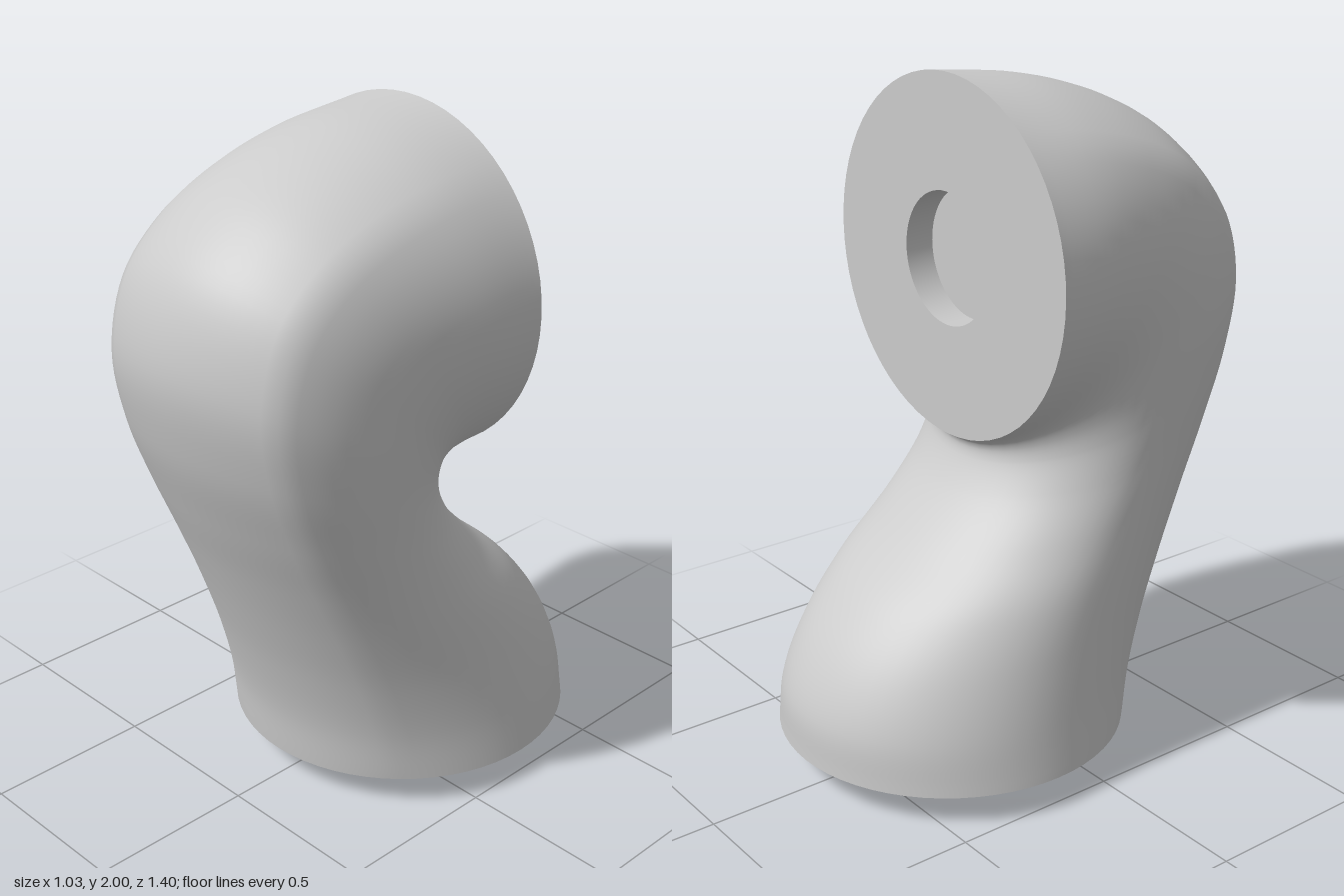
import * as THREE from 'three';
import { toCreasedNormals } from 'three/addons/utils/BufferGeometryUtils.js';

const SIDES = 64, RINGS = 72;
const R = 0.515, AXIS_Z = -0.18, FACE_Y = 1.485, BOSS_R = 0.19;

// Spine rails: [half width, outer y, outer z, inner y, inner z]
const STATIONS = [
  [0.515, 0.09, 0.335, 0.09, -0.695],
  [0.49, 0.25, 0.355, 0.23, -0.685],
  [0.465, 0.43, 0.40, 0.38, -0.62],
  [0.445, 0.60, 0.455, 0.53, -0.50],
  [0.427, 0.78, 0.52, 0.675, -0.33],
  [0.42, 0.96, 0.59, 0.81, -0.20],
  [0.425, 1.18, 0.665, 0.90, -0.145],
  [0.435, 1.42, 0.70, 0.93, -0.138],
  [0.445, 1.65, 0.64, 0.945, -0.142],
  [0.46, 1.80, 0.50, 0.953, -0.148],
  [0.48, 1.895, 0.33, 0.96, -0.155],
  [0.502, 1.965, 0.10, 0.967, -0.165],
  [0.515, 2.0, -0.18, 0.97, -0.18],
];

// Section radius: a circle with a soft corner at 45 degrees on the outer side
function sectionRadius(theta, amount) {
  const a = Math.abs(theta > Math.PI ? theta - 2 * Math.PI : theta) / (Math.PI / 4);
  const bump = a <= 1 ? a ** 2.3 : a < 2 ? (2 - a) ** 1.6 : 0;
  return 1 + 0.11 * amount * bump;
}

// Curved housing lofted from the round base to the round upright face
function housingGeometry() {
  const outer = new THREE.CatmullRomCurve3(STATIONS.map(s => new THREE.Vector3(s[0], s[1], s[2])));
  const inner = new THREE.CatmullRomCurve3(STATIONS.map(s => new THREE.Vector3(0, s[3], s[4])));
  const positions = [], indices = [];
  for (let i = 0; i <= RINGS; i++) {
    const t = i / RINGS;
    const o = outer.getPoint(t), n = inner.getPoint(t);
    const corner = Math.sin(Math.PI * t);
    for (let j = 0; j < SIDES; j++) {
      const theta = (j / SIDES) * Math.PI * 2;
      const r = sectionRadius(theta, corner);
      const u = r * Math.cos(theta), v = r * Math.sin(theta);
      positions.push(
        v * o.x,
        (o.y + n.y) / 2 + u * (o.y - n.y) / 2,
        (o.z + n.z) / 2 + u * (o.z - n.z) / 2
      );
      if (i < RINGS) {
        const k = (j + 1) % SIDES;
        const a = i * SIDES + j, b = i * SIDES + k;
        indices.push(a, b, b + SIDES, a, b + SIDES, a + SIDES);
      }
    }
  }
  const geometry = new THREE.BufferGeometry();
  geometry.setAttribute('position', new THREE.Float32BufferAttribute(positions, 3));
  geometry.setIndex(indices);
  geometry.computeVertexNormals();
  return geometry;
}

function turned(points) {
  const profile = points.map(([r, y]) => new THREE.Vector2(r, y));
  return toCreasedNormals(new THREE.LatheGeometry(profile, SIDES), Math.PI / 9);
}

export function createModel() {
  const group = new THREE.Group();
  group.name = 'elbowHousing';
  const material = new THREE.MeshStandardMaterial({ color: 0xcccccc });
  const add = (name, geometry) => {
    const mesh = new THREE.Mesh(geometry, material);
    mesh.name = name;
    group.add(mesh);
    return mesh;
  };

  add('curvedHousing', housingGeometry());

  // Underside with a stepped lip and a central boss
  const base = add('baseWithBoss', turned([
    [0, 0], [BOSS_R, 0], [BOSS_R, 0.08], [0.49, 0.08], [R, 0.09],
  ]));
  base.position.z = AXIS_Z;

  // Upright rear face with a matching round socket
  const face = add('rearFaceWithSocket', turned([
    [R, 0], [BOSS_R, 0], [BOSS_R, -0.09], [0, -0.09],
  ]));
  face.rotation.x = -Math.PI / 2;
  face.position.set(0, FACE_Y, AXIS_Z);

  return group;
}
